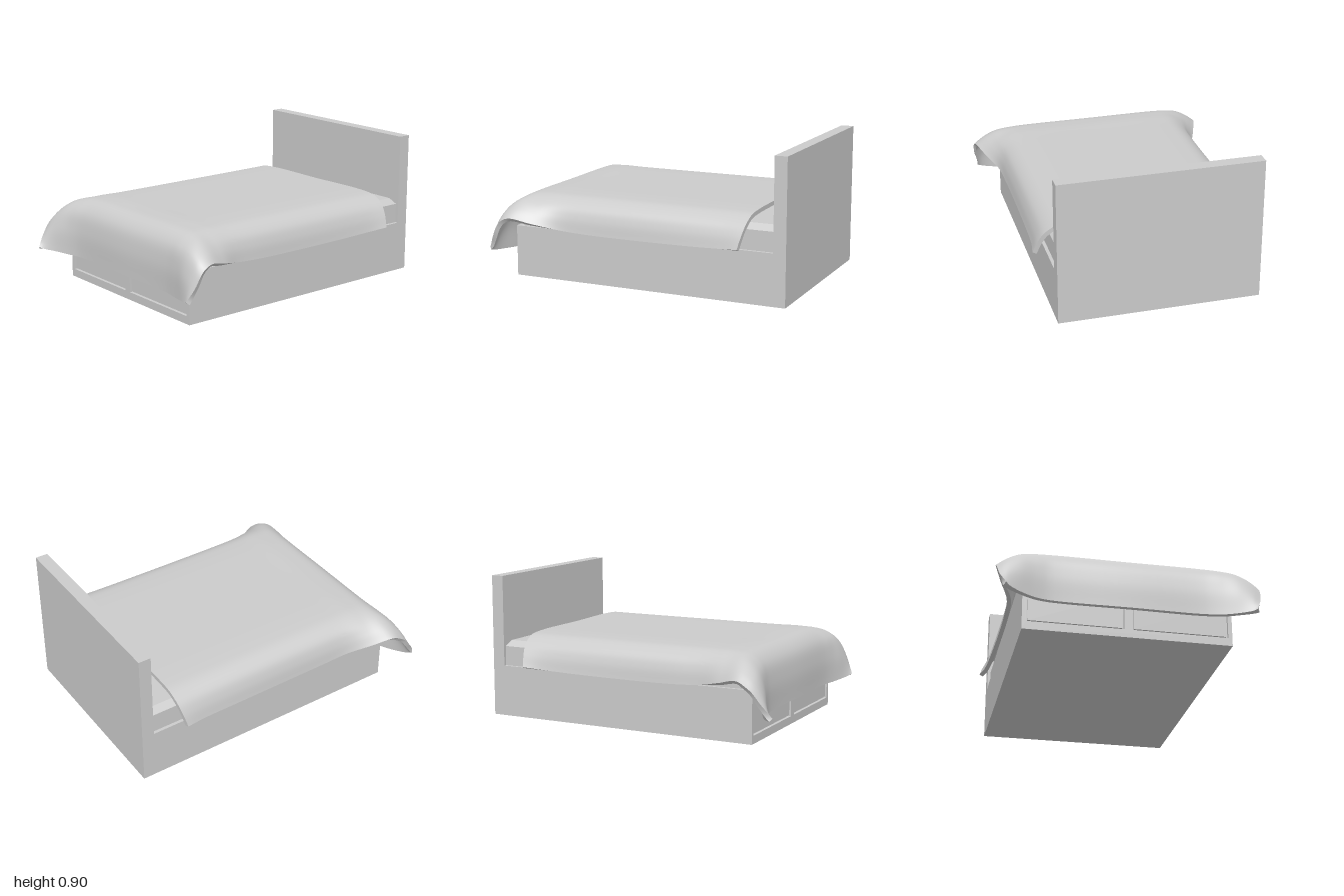
import * as THREE from 'three';
import { toCreasedNormals } from 'three/addons/utils/BufferGeometryUtils.js';

const material = new THREE.MeshStandardMaterial({ color: 0xcccccc });
const Z0 = -0.005; // middle of the frame
const HALF = 0.63; // half width of the frame

function add(group, name, geometry) {
  const mesh = new THREE.Mesh(geometry, material);
  mesh.name = name;
  group.add(mesh);
}

// Box given by its x and y limits, its width and its middle in z
function block(x0, x1, y0, y1, width, z = Z0) {
  return new THREE.BoxGeometry(x1 - x0, y1 - y0, width)
    .translate((x0 + x1) / 2, (y0 + y1) / 2, z);
}

// Foot board with two drawer openings
function footBoard() {
  const rect = (path, x0, x1, y0, y1) =>
    path.moveTo(x0, y0).lineTo(x1, y0).lineTo(x1, y1).lineTo(x0, y1).closePath();
  const shape = new THREE.Shape();
  rect(shape, -HALF, HALF, 0, 0.325);
  for (const s of [-1, 1]) {
    const hole = new THREE.Path();
    rect(hole, s * 0.315 - 0.29, s * 0.315 + 0.29, 0.05, 0.285);
    shape.holes.push(hole);
  }
  return new THREE.ExtrudeGeometry(shape, { depth: 0.02, bevelEnabled: false })
    .rotateY(-Math.PI / 2).translate(-0.8, 0, Z0);
}

// Mattress with chamfered top edges
function mattress() {
  const geo = new THREE.BoxGeometry(1.7, 0.165, 1.22, 1, 2, 1).translate(0.07, 0.4025, Z0);
  const p = geo.attributes.position;
  for (let i = 0; i < p.count; i++) {
    if (p.getY(i) > 0.48) {
      p.setX(i, p.getX(i) - Math.sign(p.getX(i) - 0.07) * 0.022);
      p.setZ(i, p.getZ(i) - Math.sign(p.getZ(i) - Z0) * 0.04);
    } else if (p.getY(i) > 0.35) p.setY(i, 0.45);
  }
  const flat = geo.toNonIndexed();
  flat.computeVertexNormals();
  return flat;
}

// Half sections of the blanket, from the top to the side hem, in order from head to foot
function blanketSections() {
  // Over the mattress one [y, z] profile is repeated, with its hem moved by [dx, dy, dz]
  const profile = [[.54, .45], [.525, .56], [.475, .63], [.41, .66], [.325, .675]];
  const stations = [
    [.76, -.035, .02, .038], [.6, 0, .01, .018], [.3, 0, 0, .005],
    [-.3, 0, 0, 0], [-.5, 0, .015, .013], [-.65, 0, .05, .07],
  ];
  const body = stations.map(([x, dx, dy, dz]) => profile.map(([y, z], k) => {
    const f = (k / 4) ** 2;
    return [x + dx * f, y + dy * f, z + dz * f];
  }));
  // Flared corners and drop over the foot end: [x, y, z]
  const foot = [
    [[-.76, .525, .45], [-.76, .52, .56], [-.77, .5, .65], [-.78, .455, .73], [-.79, .405, .793]],
    [[-.83, .46, .45], [-.84, .46, .56], [-.85, .45, .66], [-.86, .41, .74], [-.865, .36, .796]],
    [[-.86, .34, .45], [-.875, .34, .56], [-.9, .335, .66], [-.915, .31, .74], [-.92, .28, .785]],
    [[-.865, .172, .45], [-.885, .172, .56], [-.92, .18, .66], [-.955, .19, .73], [-.97, .2, .752]],
  ];
  return [...body, ...foot];
}

// Draped blanket: a smooth sheet through the sections, thickened inwards and closed along the hem
function blanket() {
  const rows = 54, cols = 60, thickness = 0.027;
  const across = blanketSections().map((half) => {
    const side = (s) => half.map(([x, y, z]) => new THREE.Vector3(x, y, s * z));
    const middle = new THREE.Vector3(half[0][0], half[0][1], 0);
    return new THREE.CatmullRomCurve3([...side(-1).reverse(), middle, ...side(1)], false, 'centripetal');
  });
  const n = (rows + 1) * (cols + 1), pos = [], index = [];
  const at = (i, j) => i * (cols + 1) + j;
  const columns = [];
  for (let j = 0; j <= cols; j++) {
    const points = across.map((c) => c.getPoint(j / cols));
    columns.push(new THREE.CatmullRomCurve3(points, false, 'centripetal'));
  }
  for (let i = 0; i <= rows; i++) {
    for (let j = 0; j <= cols; j++) {
      const p = columns[j].getPoint(i / rows);
      // The rear foot corner reaches further out than the front one
      const corner = Math.max(0, (-p.x - 0.84) / 0.13) * Math.max(0, (Math.abs(p.z) - 0.5) / 0.25);
      pos.push(p.x + Math.sign(p.z) * 0.028 * corner, p.y, p.z);
    }
  }
  for (let i = 0; i < rows; i++) {
    for (let j = 0; j < cols; j++) {
      const a = at(i, j), b = at(i, j + 1), c = at(i + 1, j), d = at(i + 1, j + 1);
      index.push(a, c, b, b, c, d);
    }
  }
  const sheet = new THREE.BufferGeometry();
  sheet.setAttribute('position', new THREE.Float32BufferAttribute(pos, 3));
  sheet.setIndex(index);
  sheet.computeVertexNormals();

  // Inner side
  const normal = sheet.attributes.normal.array;
  const all = [...pos, ...pos.map((v, k) => v - normal[k] * thickness)];
  const faces = [...index];
  for (let k = 0; k < index.length; k += 3) faces.push(index[k] + n, index[k + 2] + n, index[k + 1] + n);

  // Hem strip around the border
  const border = [];
  for (let i = 0; i < rows; i++) border.push(at(i, 0));
  for (let j = 0; j < cols; j++) border.push(at(rows, j));
  for (let i = rows; i > 0; i--) border.push(at(i, cols));
  for (let j = cols; j > 0; j--) border.push(at(0, j));
  border.forEach((a, k) => {
    const b = border[(k + 1) % border.length];
    faces.push(b, a, a + n, b, a + n, b + n);
  });
  const shell = new THREE.BufferGeometry();
  shell.setAttribute('position', new THREE.Float32BufferAttribute(all, 3));
  shell.setIndex(faces);
  return toCreasedNormals(shell, 0.8);
}

export function createModel() {
  const model = new THREE.Group();
  model.name = 'bed';
  add(model, 'bedBase', block(-0.8, 0.92, 0, 0.325, HALF * 2));
  add(model, 'footBoard', footBoard());
  for (const s of [-1, 1]) {
    add(model, s < 0 ? 'rearDrawer' : 'frontDrawer', block(-0.812, -0.8, 0.06, 0.275, 0.56, Z0 + s * 0.315));
  }
  add(model, 'headboard', block(0.92, 1, 0, 0.905, HALF * 2));
  add(model, 'mattress', mattress());
  add(model, 'blanket', blanket());
  return model;
}
